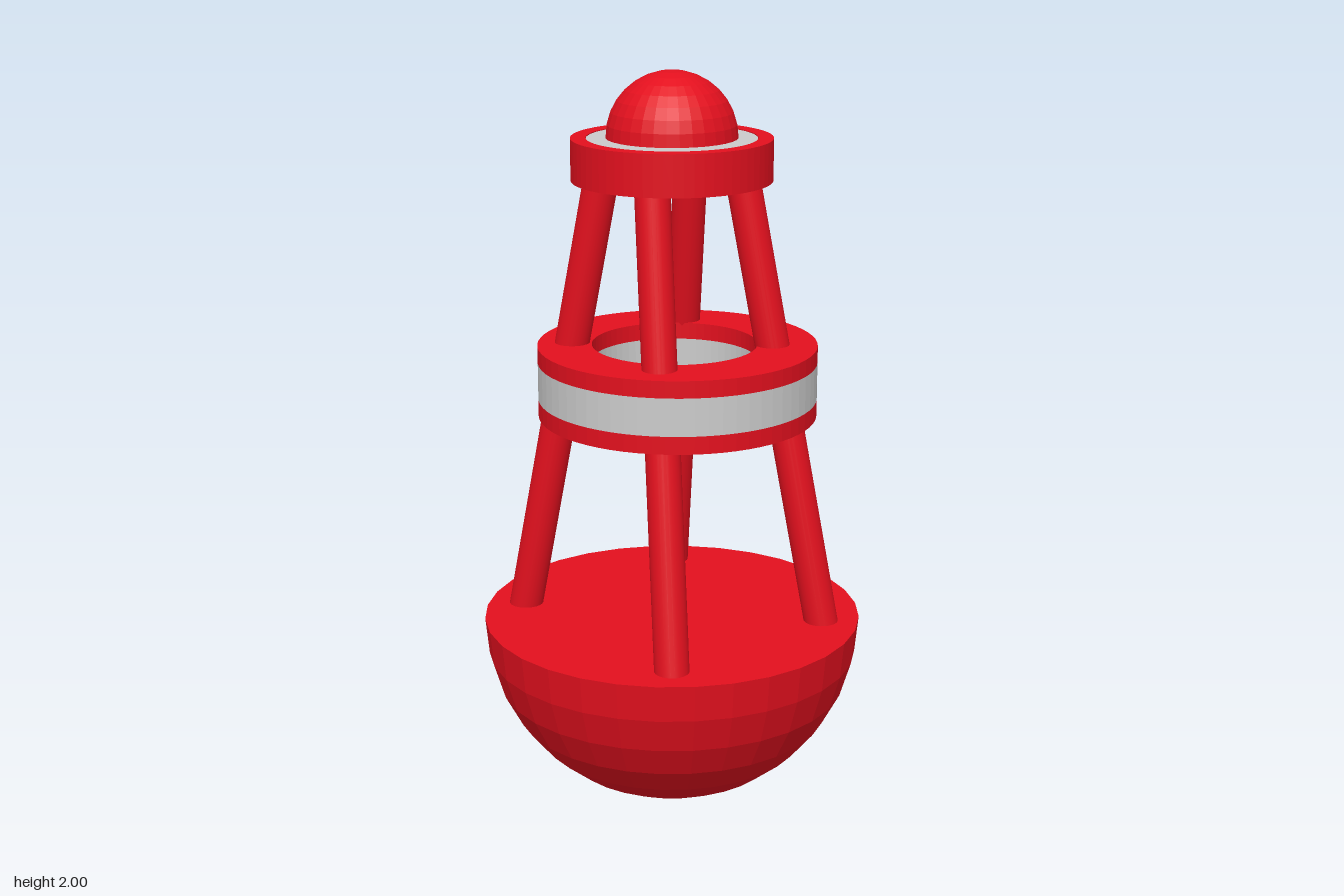
import * as THREE from 'three';

const red = new THREE.MeshStandardMaterial({ color: 0xe3101e, flatShading: true });
const redSmooth = new THREE.MeshStandardMaterial({ color: 0xe3101e });
const grey = new THREE.MeshStandardMaterial({ color: 0xcccccc, flatShading: true });

const SEG = 32;

function add(parent, name, geometry, material, x = 0, y = 0, z = 0) {
  const mesh = new THREE.Mesh(geometry, material);
  mesh.name = name;
  mesh.position.set(x, y, z);
  parent.add(mesh);
  return mesh;
}

// Flat ring standing on y = 0; the hole may be shifted by (hx, hz)
function ringGeometry(outer, inner, height, hx = 0, hz = 0) {
  const shape = new THREE.Shape().absarc(0, 0, outer, 0, Math.PI * 2, false);
  shape.holes.push(new THREE.Path().absarc(hx, -hz, inner, 0, Math.PI * 2, true));
  const geometry = new THREE.ExtrudeGeometry(shape, {
    depth: height, bevelEnabled: false, curveSegments: SEG,
  });
  return geometry.rotateX(-Math.PI / 2);
}

// Round bar between two points
function bar(parent, name, from, to, radius) {
  const dir = to.clone().sub(from);
  const mesh = add(parent, name, new THREE.CylinderGeometry(radius, radius, dir.length(), 24), redSmooth);
  mesh.position.copy(from).add(to).multiplyScalar(0.5);
  mesh.quaternion.setFromUnitVectors(new THREE.Vector3(0, 1, 0), dir.normalize());
}

export function createModel() {
  const model = new THREE.Group();
  model.name = 'buoy';

  // Float: lower half sphere with a flat deck
  const R = 0.515;
  add(model, 'floatHull',
    new THREE.SphereGeometry(R, SEG, 8, 0, Math.PI * 2, Math.PI / 2, Math.PI / 2), red, 0, R, 0);
  add(model, 'floatDeck', new THREE.CircleGeometry(R, SEG).rotateX(-Math.PI / 2), red, 0, R, 0);

  // Four legs leaning inward from the deck to the top collar
  const legs = new THREE.Group();
  legs.name = 'legs';
  model.add(legs);
  for (const sx of [1, -1]) {
    for (const sz of [1, -1]) {
      const at = (y) => new THREE.Vector3(
        sx * (0.314 - 0.1745 * (y - R)), y, sz * (0.267 - 0.0946 * (y - R)));
      bar(legs, 'leg', at(0.49), at(1.78), 0.046);
    }
  }

  // Middle collar: grey band between two red rings
  const collar = new THREE.Group();
  collar.name = 'middleCollar';
  collar.position.set(0.011, 0, -0.01);
  model.add(collar);
  const layers = [
    ['lowerRing', 1.088, 1.135, red],
    ['greyBand', 1.135, 1.235, grey],
    ['upperRing', 1.235, 1.28, red],
  ];
  for (const [name, y0, y1, material] of layers) {
    add(collar, name, ringGeometry(0.372, 0.22, y1 - y0, -0.006, 0.005), material, 0, y0, 0);
  }

  // Top collar with its grey plug and the lamp dome
  add(model, 'topCollar', ringGeometry(0.263, 0.223, 0.11), red, 0, 1.718, 0);
  add(model, 'topPlug', new THREE.CylinderGeometry(0.223, 0.223, 0.086, SEG), grey, 0, 1.783, 0);
  add(model, 'lampDome',
    new THREE.SphereGeometry(0.172, SEG, 8, 0, Math.PI * 2, 0, Math.PI / 2), red, 0, 1.828, 0);

  return model;
}
